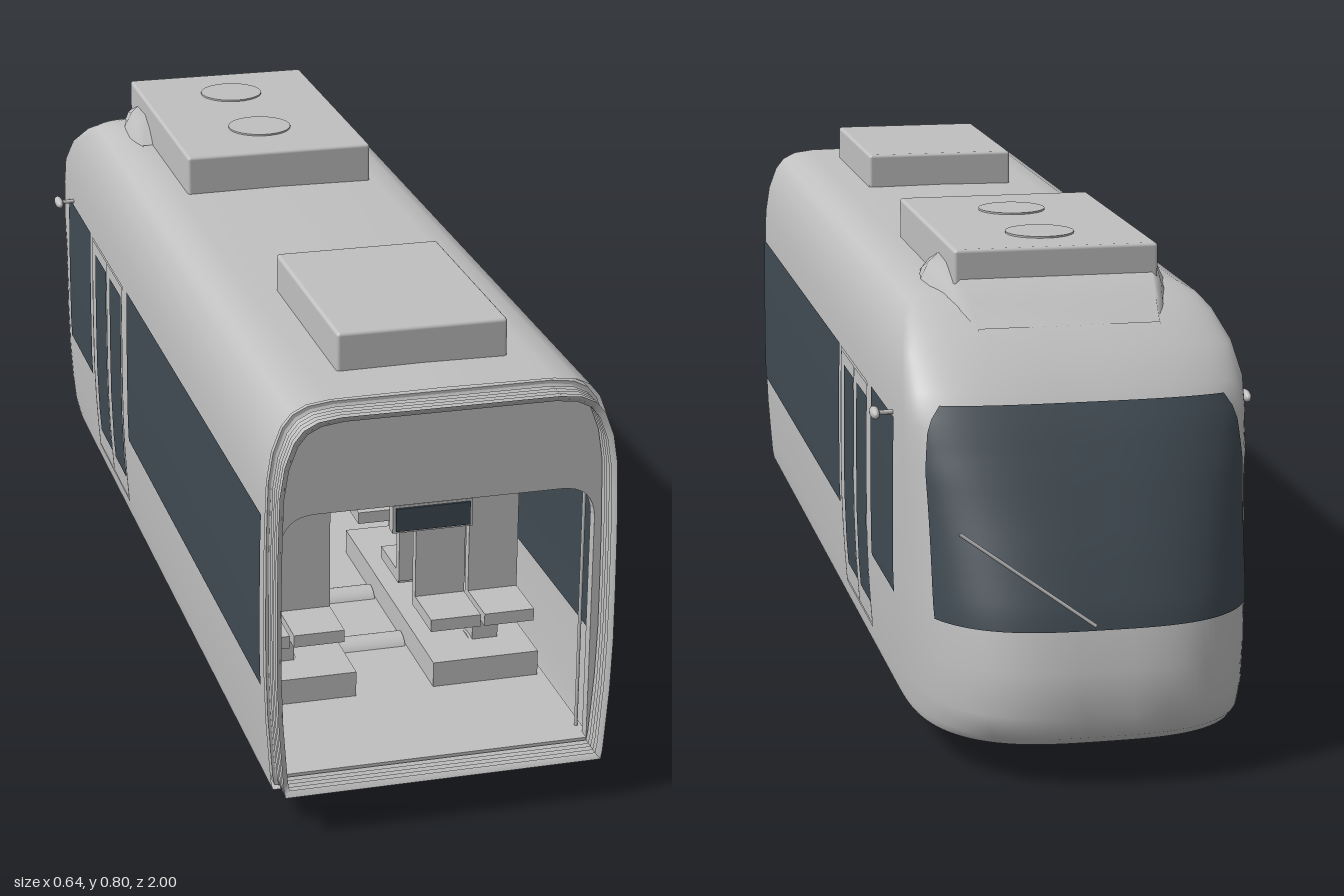
import * as THREE from 'three';
import { RoundedBoxGeometry } from 'three/addons/geometries/RoundedBoxGeometry.js';

const mat = (name, color) => new THREE.MeshStandardMaterial({ name, color, side: THREE.DoubleSide });
const grey = mat('bodyGrey', 0xc0c0c0);
const glass = mat('darkGlass', 0x3f4a52);

// Body levels: height, half width, nose tip z, z where the nose curve starts
const LEVELS = [
  [0.063, 0.272, -0.955, -0.6], [0.08, 0.275, -0.98, -0.6], [0.12, 0.278, -1, -0.6],
  [0.19, 0.283, -0.99, -0.6], [0.28, 0.286, -0.965, -0.61], [0.37, 0.286, -0.925, -0.64],
  [0.48, 0.285, -0.87, -0.7], [0.55, 0.283, -0.832, -0.72], [0.6, 0.281, -0.8, -0.72],
  [0.65, 0.273, -0.745, -0.68], [0.69, 0.258, -0.69, -0.61], [0.71, 0.242, -0.645, -0.57],
  [0.722, 0.218, -0.61, -0.53], [0.727, 0.18, -0.59, -0.5],
];
const POWER = 3.1, END = 0.95;

function levelAt(y) {
  let i = 1;
  while (i < LEVELS.length - 1 && LEVELS[i][0] < y) i++;
  const a = LEVELS[i - 1], b = LEVELS[i], t = (y - a[0]) / (b[0] - a[0]);
  return a.map((v, k) => v + (b[k] - v) * t);
}

// Point on the rounded nose at angle t, from the left side (0) to the right side (PI)
function nosePoint([y, w, n, zs], t) {
  const c = Math.cos(t), s = Math.max(0, Math.sin(t));
  return [Math.sign(c) * w * Math.abs(c) ** (2 / POWER), y, zs + (n - zs) * s ** (2 / POWER)];
}

// Smooth surface through rows of points
function grid(rows) {
  const n = rows[0].length, index = [];
  for (let r = 0; r < rows.length - 1; r++)
    for (let c = 0; c < n - 1; c++) {
      const a = r * n + c, b = a + n;
      index.push(a, a + 1, b, b, a + 1, b + 1);
    }
  const g = new THREE.BufferGeometry();
  g.setAttribute('position', new THREE.Float32BufferAttribute(rows.flat(2), 3));
  g.setIndex(index);
  g.computeVertexNormals();
  return g;
}

// Cross-section outline of the car
function sectionPoints(k = 1) {
  const half = LEVELS.map(([y, w]) => new THREE.Vector2(w * k, 0.395 + (y - 0.395) * k));
  return [...half, ...half.map(p => new THREE.Vector2(-p.x, p.y)).reverse()];
}

export function createModel() {
  const root = new THREE.Group();
  root.name = 'tramCar';
  const add = (name, geo, x = 0, y = 0, z = 0, m = grey) => {
    const mesh = new THREE.Mesh(geo, m);
    mesh.name = name;
    mesh.position.set(x, y, z);
    root.add(mesh);
    return mesh;
  };
  const box = (name, w, h, d, x, y, z, m) => add(name, new THREE.BoxGeometry(w, h, d), x, y, z, m);
  const drum = (name, r, len, x, y, z) =>
    add(name, new THREE.CylinderGeometry(r, r, len, 32).rotateZ(Math.PI / 2), x, y, z);
  const rod = (name, a, b, r) =>
    add(name, new THREE.TubeGeometry(new THREE.LineCurve3(new THREE.Vector3(...a), new THREE.Vector3(...b)), 1, r, 8));

  // Body shell with roof, and flat underside
  const outline = L => {
    const pts = [[L[1], L[0], END]];
    for (let i = 0; i <= 64; i++) pts.push(nosePoint(L, Math.PI * i / 64));
    return [...pts, [-L[1], L[0], END]];
  };
  const top = LEVELS[LEVELS.length - 1];
  add('bodyShell', grid([...LEVELS, [0.729, 0, top[2], top[3]]].map(outline)));
  add('underside', grid([[0.063, 0, -0.955, -0.6], LEVELS[0]].map(outline)));

  // Windscreen wrapped around the nose
  const rows = [];
  for (let i = 0; i <= 16; i++) {
    const y = 0.255 + 0.33 * i / 16, L = levelAt(y);
    const edge = -0.86 + 0.07 * i / 16;
    const t0 = Math.asin(((edge - L[3]) / (L[2] - L[3])) ** (POWER / 2));
    const row = [];
    for (let j = 0; j <= 48; j++) {
      const p = nosePoint(L, t0 + (Math.PI - 2 * t0) * j / 48);
      row.push([p[0] * 1.014, p[1], p[2] - 0.005]);
    }
    rows.push(row);
  }
  add('windscreen', grid(rows), 0, 0, 0, glass);

  // Plates that follow the side wall
  const plate = (name, s, y0, y1, z0, z1, off, m) => {
    const r = [];
    for (let i = 0; i <= 8; i++) {
      const y = y0 + (y1 - y0) * i / 8, x = s * (levelAt(y)[1] + off);
      r.push(s > 0 ? [[x, y, z0], [x, y, z1]] : [[x, y, z1], [x, y, z0]]);
    }
    add(name, grid(r), 0, 0, 0, m);
  };

  for (const s of [1, -1]) {
    for (const off of [0.003, -0.003]) {
      plate('longWindow', s, 0.245, 0.54, 0.935, -0.1, off, glass);
      plate('cabWindow', s, 0.245, 0.54, -0.45, -0.675, off, glass);
      plate('doorGlass', s, 0.145, 0.512, -0.155, -0.26, off, glass);
      plate('doorGlass', s, 0.145, 0.512, -0.295, -0.4, off, glass);
    }
    // Door frame and centre seam
    for (const z of [-0.135, -0.278, -0.417]) plate('doorFrame', s, 0.105, 0.54, z + 0.004, z - 0.004, 0.005);
    for (const y of [0.105, 0.535]) plate('doorFrame', s, y, y + 0.007, -0.13, -0.42, 0.005);

    // Side mirror
    rod('mirrorArm', [s * 0.28, 0.542, -0.645], [s * 0.313, 0.542, -0.645], 0.004);
    add('mirror', new THREE.SphereGeometry(1, 16, 12).scale(0.008, 0.01, 0.025), s * 0.313, 0.542, -0.645);

    // Headlight
    add('headlight', new THREE.SphereGeometry(0.009, 12, 8), s * 0.16, 0.19, -0.952);

    // Seats on plinths
    box('seatPlinth', 0.185, 0.045, 0.56, s * 0.16, 0.107, 0.43);
    for (const [z, face] of [[0.56, 1], [0.46, -1], [0.1, 1]]) {
      box('seatPedestal', 0.045, 0.055, 0.06, s * 0.18, 0.14, z + face * 0.05);
      for (const x of [0.12, 0.215]) {
        box('seatCushion', 0.088, 0.022, 0.11, s * x, 0.176, z + face * 0.05);
        box('seatBack', 0.088, 0.2, 0.018, s * x, 0.27, z);
      }
    }

    // Grab poles
    rod('grabPole', [s * 0.21, 0.085, -0.08], [s * 0.21, 0.525, -0.08], 0.004);
    rod('handrail', [s * 0.256, 0.085, 0.9], [s * 0.256, 0.525, 0.9], 0.003);

    // Wheels with flanges and brake discs
    for (const z of [0.62, 0.23]) {
      drum('wheel', 0.06, 0.026, s * 0.165, 0.066, z);
      drum('wheelFlange', 0.066, 0.007, s * 0.156, 0.066, z);
      drum('brakeDisc', 0.04, 0.01, s * 0.104, 0.066, z);
    }
  }
  for (const z of [0.62, 0.23]) drum('axle', 0.01, 0.32, 0, 0.062, z);
  for (const z of [0.525, 0.33]) drum('motor', 0.03, 0.16, -0.015, 0.07, z);

  // Floor, cab partition and end bulkhead with a doorway
  box('floor', 0.53, 0.01, 1.38, 0, 0.08, 0.255);
  add('cabPartition', new THREE.ShapeGeometry(new THREE.Shape(sectionPoints(0.985))), 0, 0, -0.43);
  box('partitionSeam', 0.005, 0.42, 0.006, 0, 0.32, -0.427);
  box('partitionStep', 0.13, 0.025, 0.06, 0, 0.097, -0.4);
  box('cabScreen', 0.108, 0.095, 0.006, -0.12, 0.387, -0.425, glass);
  box('signCase', 0.132, 0.047, 0.02, 0, 0.495, 0.9);
  box('signScreen', 0.122, 0.039, 0.006, 0, 0.495, 0.911, glass);
  const wall = new THREE.Shape(sectionPoints(0.985));
  const door = new THREE.Path();
  door.moveTo(-0.258, 0.085).lineTo(0.258, 0.085).lineTo(0.258, 0.48);
  door.quadraticCurveTo(0.256, 0.535, 0.2, 0.535).lineTo(-0.2, 0.535);
  door.quadraticCurveTo(-0.256, 0.535, -0.258, 0.48).lineTo(-0.258, 0.085);
  wall.holes.push(door);
  add('endBulkhead', new THREE.ExtrudeGeometry(wall, { depth: 0.02, bevelEnabled: false, curveSegments: 8 }), 0, 0, 0.925);

  // Gangway bellows with folded ribs
  const ribs = [];
  for (let i = 0; i <= 10; i++) {
    const ring = sectionPoints(i % 2 ? 0.94 : 0.97);
    ribs.push([...ring, ring[0]].map(p => [p.x, p.y, 0.945 + i * 0.0055]));
  }
  add('bellows', grid(ribs));

  // Roof equipment
  add('rearRoofUnit', new RoundedBoxGeometry(0.28, 0.075, 0.39, 2, 0.006), 0, 0.753, 0.645);
  add('frontRoofUnit', new RoundedBoxGeometry(0.344, 0.08, 0.52, 2, 0.006), 0, 0.757, -0.34);
  for (const z of [-0.235, -0.465])
    add('roofFan', new THREE.CylinderGeometry(0.058, 0.058, 0.006, 32), 0, 0.797, z);
  const fairing = [
    [-0.39, 0.2, 0.19, 0.728], [-0.42, 0.206, 0.18, 0.752], [-0.46, 0.206, 0.172, 0.768],
    [-0.53, 0.202, 0.168, 0.768], [-0.6, 0.192, 0.162, 0.748], [-0.65, 0.18, 0.155, 0.722], [-0.7, 0.16, 0.15, 0.685],
  ].map(([z, b, t, y]) => [[-b, y - 0.05, z], [-(b + t) / 2, y - 0.015, z], [-t, y, z], [t, y, z], [(b + t) / 2, y - 0.015, z], [b, y - 0.05, z]]);
  add('roofFairing', grid(fairing));

  // Wiper
  rod('wiper', [0.02, 0.265, -0.985], [0.23, 0.415, -0.945], 0.003);
  return root;
}
